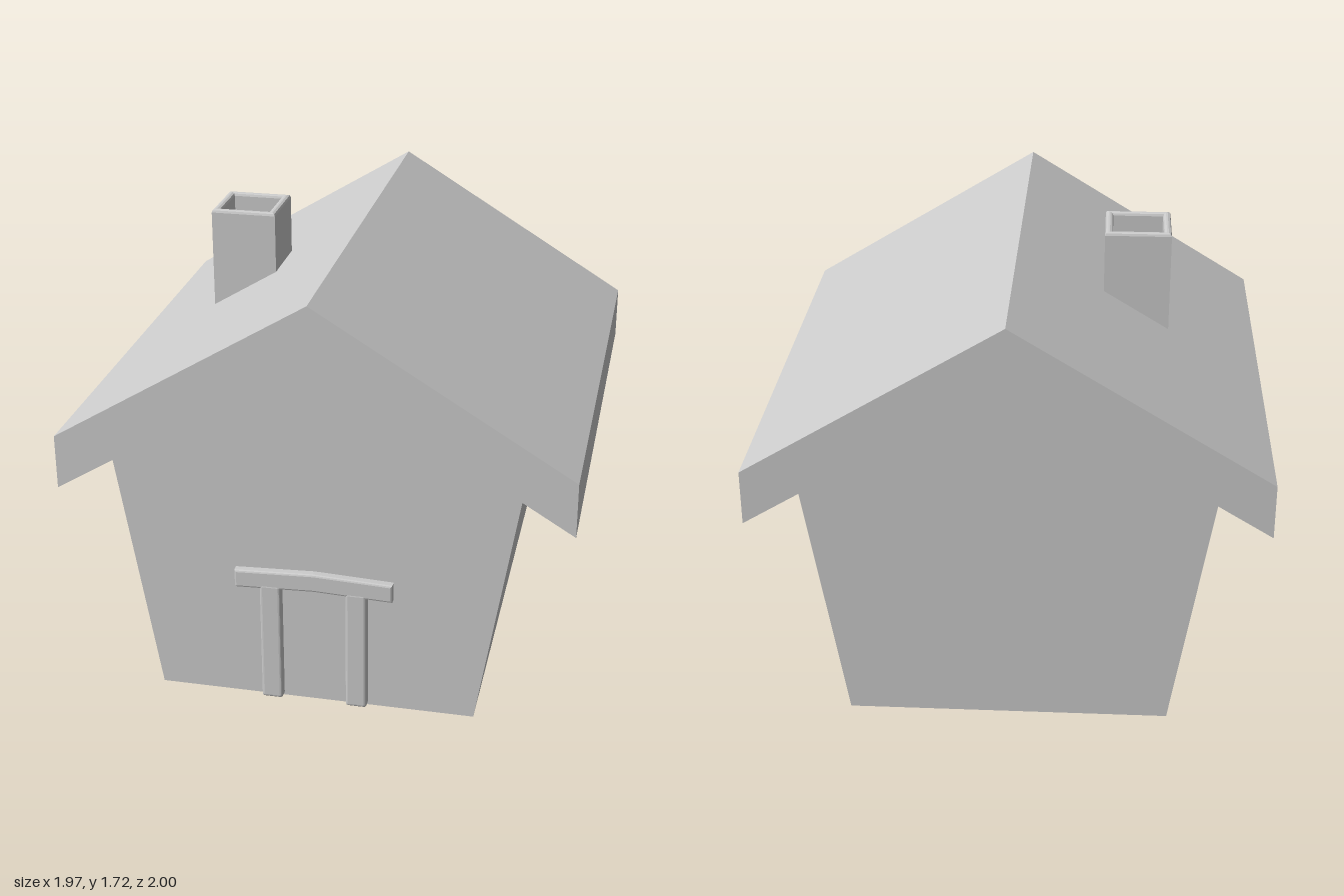
import * as THREE from 'three';
import { RoundedBoxGeometry } from 'three/addons/geometries/RoundedBoxGeometry.js';

const material = new THREE.MeshStandardMaterial({ color: 0xcccccc, flatShading: true });

const toPoints = (pairs) => pairs.map(([x, y]) => new THREE.Vector2(x, y));

// Extrude an outline from z0 to z1, with an optional small bevel kept inside the outline
function extrude(shape, z0, z1, bevel = 0) {
  const geometry = new THREE.ExtrudeGeometry(shape, {
    depth: z1 - z0 - 2 * bevel,
    bevelEnabled: bevel > 0,
    bevelThickness: bevel,
    bevelSize: bevel,
    bevelOffset: -bevel,
    bevelSegments: 2,
  });
  return geometry.translate(0, 0, z0 + bevel);
}

function square(Path, x0, x1, y0, y1) {
  return new Path(toPoints([[x0, y0], [x1, y0], [x1, y1], [x0, y1]]));
}

export function createModel() {
  const house = new THREE.Group();
  house.name = 'house';

  const add = (name, geometry) => {
    const mesh = new THREE.Mesh(geometry, material);
    mesh.name = name;
    house.add(mesh);
    return mesh;
  };

  // Walls flare outward up to the eaves and end in a gable just inside the roof
  const walls = new THREE.Shape(toPoints([
    [-0.625, 0], [0.625, 0], [0.787, 0.995], [0, 1.475], [-0.787, 0.995],
  ]));
  add('walls', extrude(walls, -0.935, 0.935));

  // Thick gabled roof with vertical eave faces
  const roof = new THREE.Shape(toPoints([
    [0, 1.68], [-0.985, 1.08], [-0.985, 0.865], [0, 1.465], [0.985, 0.865], [0.985, 1.08],
  ]));
  add('roof', extrude(roof, -1, 1));

  // Hollow chimney, bevelled at the rim, with its foot sunk into the roof
  const flue = square(THREE.Shape, -0.6, -0.338, -0.13, 0.135);
  flue.holes.push(square(THREE.Path, -0.569, -0.369, -0.099, 0.104));
  add('chimney', extrude(flue, 1.27, 1.72, 0.012).rotateX(-Math.PI / 2));

  // Door posts
  for (const [name, x] of [['leftDoorPost', 0.166], ['rightDoorPost', -0.17]]) {
    add(name, new RoundedBoxGeometry(0.084, 0.51, 0.07, 2, 0.012))
      .position.set(x, 0.257, 0.933);
  }

  // Lintel, slightly raised in the middle
  const lintel = new THREE.Shape(toPoints([
    [-0.31, 0.488], [0, 0.5], [0.307, 0.488], [0.307, 0.562], [0, 0.575], [-0.31, 0.562],
  ]));
  add('doorLintel', extrude(lintel, 0.9, 0.967, 0.008));

  return house;
}
